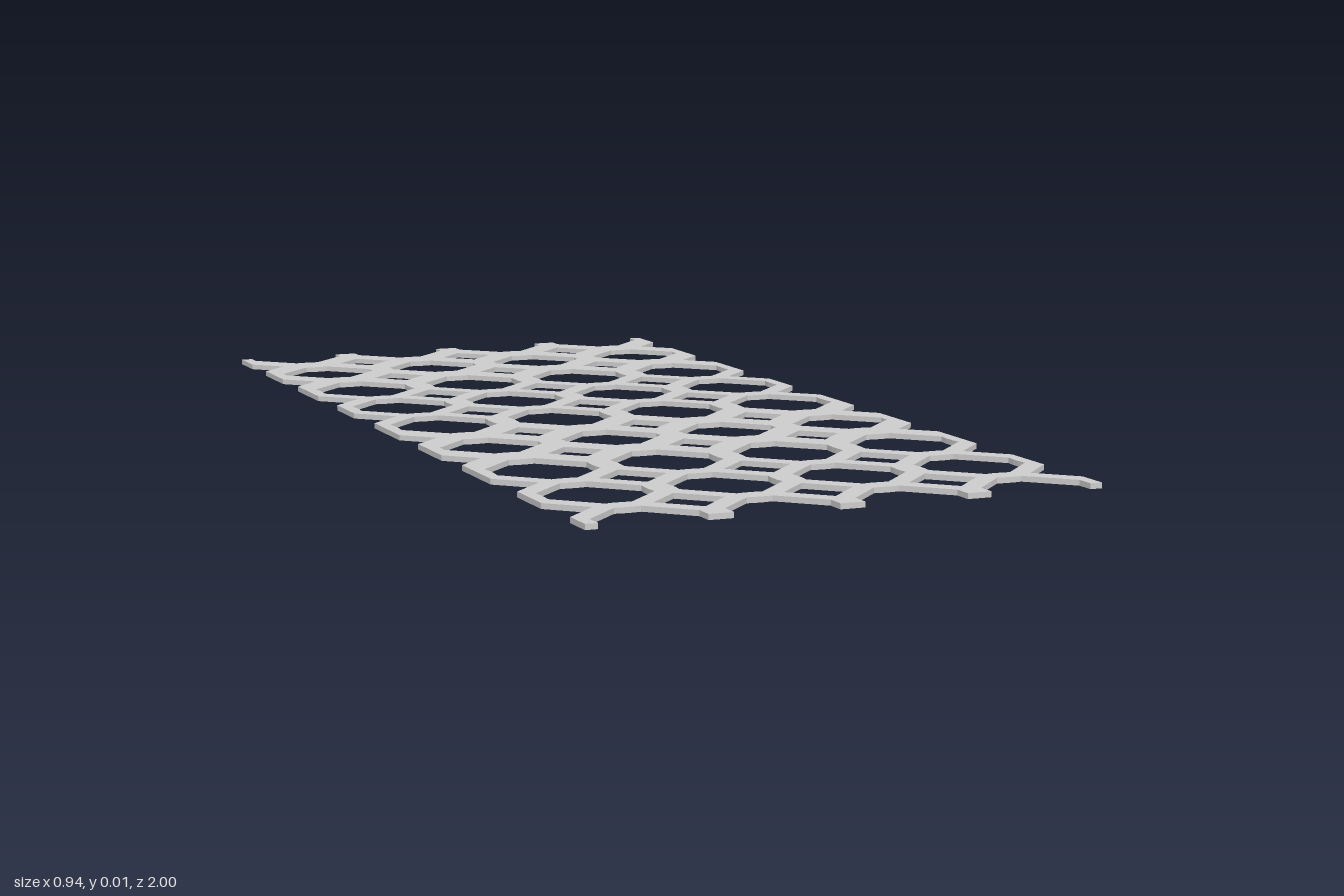
import * as THREE from 'three';

const PITCH = 0.235;          // spacing of the columns
const HALF_W = 2 * PITCH;     // half width of the panel
const BAR = 0.0225;           // half width of the lengthwise bars
const THICK = 0.01;
const FLAT = 0.0235;          // half width of the web between the diagonals

// Rows of joints: z centre, half depth of the web, half size of the diamond
// opening, and reach of the diagonal straps' outer edge
const joint = (web, diamond) => ({ web, diamond, reach: web + PITCH / 2 - FLAT });
const heavy = joint(0.0355, 0.054);
const light = joint(0.0195, 0.064);
const rows = [
  [-0.863, heavy], [-0.626, heavy], [-0.366, light], [-0.128, light],
  [0.1375, heavy], [0.374, heavy], [0.636, light], [0.874, light],
].map(([z, kind]) => ({ z, ...kind }));

const pt = (x, z) => new THREE.Vector2(x, -z);

// Gently swollen web edge from left to right; side = 1 for its +z edge, -1 for -z
function webEdge(cx, row, side) {
  return [[-FLAT, 0], [-0.01, 0.002], [0.01, 0.002], [FLAT, 0]]
    .map(([dx, dz]) => pt(cx + dx, row.z + side * (row.web + dz)));
}

// Eight-sided opening between two joint rows
function octagon(cx, a, b) {
  const w = PITCH / 2 - BAR;
  const z0 = a.z + a.reach - BAR;
  const z1 = b.z - b.reach + BAR;
  const q = (z1 - z0) / 3;
  const side = (s) => [[0, z0], [0.002, z0 + q], [0.002, z1 - q], [0, z1]]
    .map(([inset, z]) => pt(cx + s * (w - inset), z));
  return new THREE.Path([
    ...webEdge(cx, a, 1), ...side(1),
    ...webEdge(cx, b, -1).reverse(), ...side(-1).reverse(),
  ]);
}

function diamond(cx, { z, diamond: d }) {
  return new THREE.Path([pt(cx - d, z), pt(cx, z - d), pt(cx + d, z), pt(cx, z + d)]);
}

// Half openings cut into one end, from left to right
function endEdge(row, side) {
  const points = [];
  const w = PITCH / 2 - BAR;
  const zBar = row.z + side * (row.reach - BAR);
  for (let c = 0; c < 4; c++) {
    const cx = (c - 1.5) * PITCH;
    points.push(pt(cx - w, side), pt(cx - w, zBar), ...webEdge(cx, row, side),
      pt(cx + w, zBar), pt(cx + w, side));
  }
  return points;
}

// Long edge with a V notch at each joint row, from -z to +z
function longEdge(s) {
  const points = [pt(s * HALF_W, -1)];
  for (const { z, diamond: d } of rows) {
    points.push(pt(s * HALF_W, z - d), pt(s * (HALF_W - d), z), pt(s * HALF_W, z + d));
  }
  points.push(pt(s * HALF_W, 1));
  return points;
}

export function createModel() {
  const group = new THREE.Group();
  group.name = 'latticePanel';

  // Outline, counter-clockwise
  const shape = new THREE.Shape([
    ...longEdge(-1), ...endEdge(rows[rows.length - 1], 1),
    ...longEdge(1).reverse(), ...endEdge(rows[0], -1).reverse(),
  ]);

  // Large openings
  for (let r = 0; r < rows.length - 1; r++) {
    for (let c = 0; c < 4; c++) {
      shape.holes.push(octagon((c - 1.5) * PITCH, rows[r], rows[r + 1]));
    }
  }
  // Small diamond openings
  for (const row of rows) {
    for (let c = -1; c <= 1; c++) shape.holes.push(diamond(c * PITCH, row));
  }

  const geometry = new THREE.ExtrudeGeometry(shape, { depth: THICK, bevelEnabled: false });
  geometry.rotateX(-Math.PI / 2);
  const mesh = new THREE.Mesh(geometry, new THREE.MeshStandardMaterial({ color: 0xcccccc }));
  mesh.name = 'lattice';
  group.add(mesh);
  return group;
}
